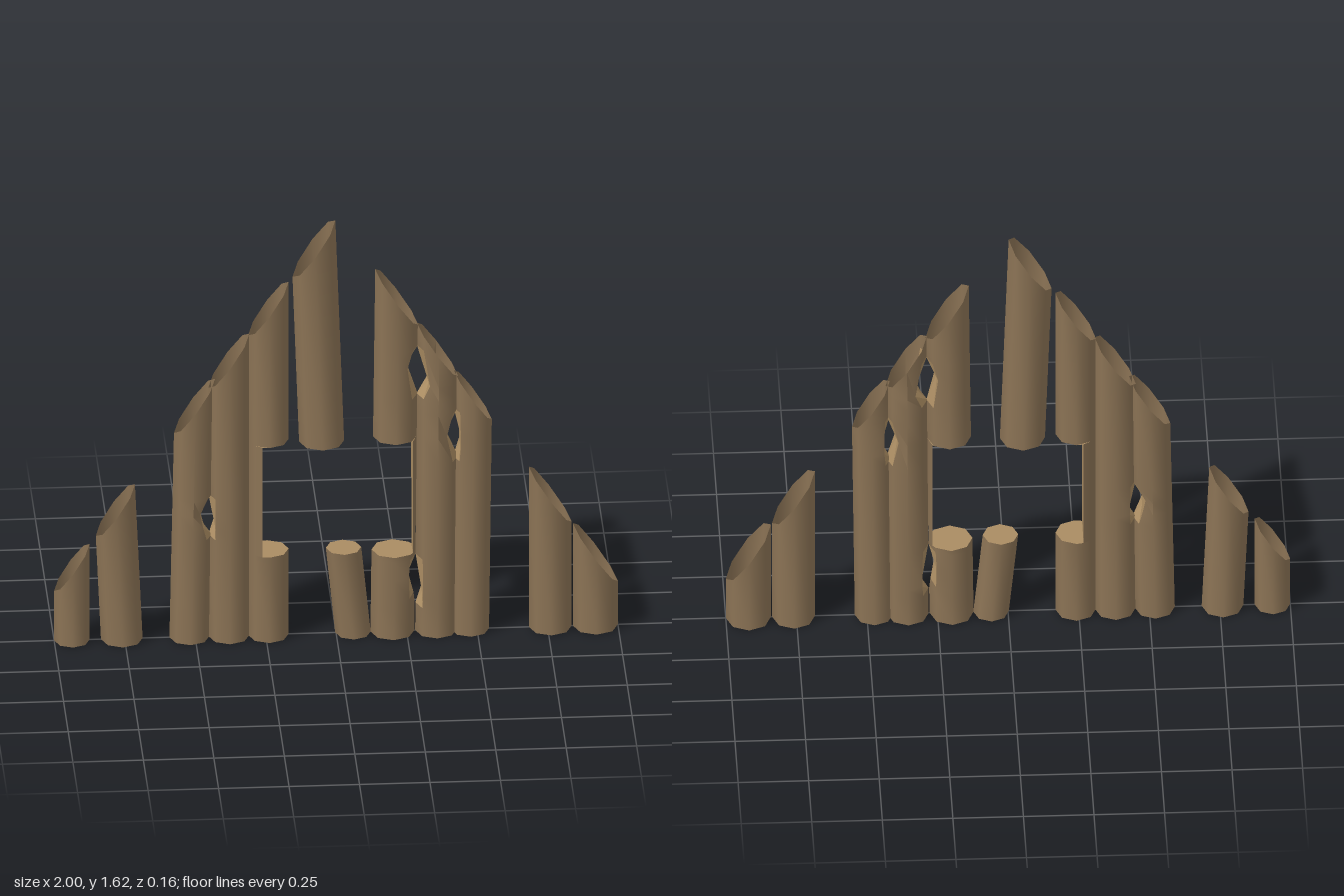
import * as THREE from 'three';
import { toCreasedNormals } from 'three/addons/utils/BufferGeometryUtils.js';

const SIDES = 8;
const FREE = [-9, 9];
const ROOF = 9; // ring height that is always trimmed to the roof slope

// Gable slopes on either side of the ridge
const roof = (x) => Math.min(1.62 + 1.425 * x, 1.623 - 1.453 * x);

// One cross-section of a log, trimmed by the roof and by upright cut planes lo..hi
function ring(log, [y, lo, hi]) {
  const points = [];
  for (let i = 0; i < SIDES; i++) {
    const a = (i / SIDES) * Math.PI * 2;
    let py = Math.min(y, 1.6), px = 0, moved = false;
    let pz = log.r * Math.sin(a);
    for (let k = 0; k < 8; k++) {
      const centre = log.x + log.lean * py;
      const raw = centre + log.r * Math.cos(a);
      px = Math.min(hi, Math.max(lo, raw));
      moved = Math.abs(px - raw) > 1e-6;
      if (moved) {
        const chord = Math.sqrt(Math.max(0, log.r ** 2 - (px - centre) ** 2));
        pz = Math.sign(Math.sin(a)) * Math.min(Math.abs(log.r * Math.sin(a)), chord);
      }
      py = Math.min(y, roof(px));
    }
    points.push({ p: new THREE.Vector3(px, py, pz), moved });
  }
  return points;
}

function addTriangle(list, a, b, c) {
  const area = b.clone().sub(a).cross(c.clone().sub(a)).length();
  if (area < 1e-8) return;
  for (const v of [a, b, c]) list.push(v.x, v.y, v.z);
}

function addCap(list, points, up) {
  const centre = new THREE.Vector3();
  points.forEach((q) => centre.addScaledVector(q.p, 1 / SIDES));
  for (let i = 0; i < SIDES; i++) {
    const a = points[i].p, b = points[(i + 1) % SIDES].p;
    if (up) addTriangle(list, centre, b, a);
    else addTriangle(list, centre, a, b);
  }
}

function makeLog(log, bark, cutWood) {
  const group = new THREE.Group();
  group.name = log.name;
  const outer = [], cut = [];
  const rings = log.rings.map(([y, lo = FREE[0], hi = FREE[1]]) => ring(log, [y, lo, hi]));
  for (let j = 0; j + 1 < rings.length; j++) {
    for (let i = 0; i < SIDES; i++) {
      const n = (i + 1) % SIDES;
      const [A, B, C, D] = [rings[j][i], rings[j][n], rings[j + 1][n], rings[j + 1][i]];
      const isCut = (A.moved && B.moved) || (C.moved && D.moved) ||
        (log.rings[j][0] === log.rings[j + 1][0]);
      const list = isCut ? cut : outer;
      addTriangle(list, A.p, D.p, C.p);
      addTriangle(list, A.p, C.p, B.p);
    }
  }
  if (log.capBottom) addCap(cut, rings[0], false);
  if (log.capTop) addCap(cut, rings[rings.length - 1], true);

  for (const [name, list, material, crease] of [['bark', outer, bark, 0.95], ['cutFaces', cut, cutWood, 0.2]]) {
    if (!list.length) continue;
    const geometry = new THREE.BufferGeometry();
    geometry.setAttribute('position', new THREE.Float32BufferAttribute(list, 3));
    const mesh = new THREE.Mesh(toCreasedNormals(geometry, crease), material);
    mesh.name = name;
    group.add(mesh);
  }
  return group;
}

export function createModel() {
  const bark = new THREE.MeshStandardMaterial({ color: 0x8b7355, side: THREE.DoubleSide });
  bark.name = 'bark';
  const cutWood = new THREE.MeshStandardMaterial({ color: 0xaa8c62, side: THREE.DoubleSide });
  cutWood.name = 'cutWood';

  const [NO_LO, NO_HI] = FREE;
  const plain = [[0], [ROOF]];
  // x: centre at the ground, lean: sideways drift per unit height, r: radius
  // rings: [height, left cut plane, right cut plane]
  const logs = [
    // Left of the left doorway
    { name: 'outerLeftEndLog', x: -0.937, lean: 0, r: 0.063, rings: plain },
    { name: 'outerLeftDoorLog', x: -0.76, lean: -0.045, r: 0.074, rings: plain },
    // Left wall, with a chink between the first two logs
    { name: 'leftWallLog', x: -0.52, lean: 0.02, r: 0.071,
      rings: [[0], [0.4], [0.45, NO_LO, -0.475], [0.5, NO_LO, -0.485], [0.56], [ROOF]] },
    { name: 'leftMiddleLog', x: -0.38, lean: 0, r: 0.073,
      rings: [[0], [0.4], [0.44, -0.43], [0.56], [ROOF]] },
    // Logs notched by the window
    { name: 'leftWindowLog', x: -0.24, lean: 0, r: 0.072,
      rings: [[0], [0.335], [0.335, NO_LO, -0.265], [0.765, NO_LO, -0.265], [0.765], [ROOF]] },
    { name: 'ridgeLog', x: -0.024, lean: -0.036, r: 0.08, capBottom: true, rings: [[0.753], [ROOF]] },
    { name: 'sillLog', x: 0.06, lean: -0.1, r: 0.063, capTop: true, rings: [[0], [0.333]] },
    { name: 'rightWindowLog', x: 0.2, lean: 0.012, r: 0.078,
      rings: [[0], [0.11], [0.15, NO_LO, 0.275], [0.23, NO_LO, 0.255], [0.3], [0.322], [0.322, 0.27],
        [0.765, 0.27], [0.765], [0.93], [1.05, NO_LO, 0.25], [1.12], [ROOF]] },
    // Right wall, with chinks beside the window log and the outer log
    { name: 'rightMiddleLog', x: 0.355, lean: 0.005, r: 0.074,
      rings: [[0], [0.11], [0.15, 0.305], [0.3], [0.68], [0.78, NO_LO, 0.39], [0.87],
        [0.93], [0.98, 0.33], [1.12], [ROOF]] },
    { name: 'rightWallLog', x: 0.475, lean: 0.012, r: 0.068,
      rings: [[0], [0.68], [0.73, 0.44], [0.78, 0.44], [0.87], [ROOF]] },
    // Right of the right doorway
    { name: 'outerRightDoorLog', x: 0.76, lean: 0, r: 0.076, rings: plain },
    { name: 'outerRightEndLog', x: 0.92, lean: 0, r: 0.08, rings: plain },
  ];

  const model = new THREE.Group();
  model.name = 'logGableWall';
  logs.forEach((log) => model.add(makeLog(log, bark, cutWood)));
  return model;
}
